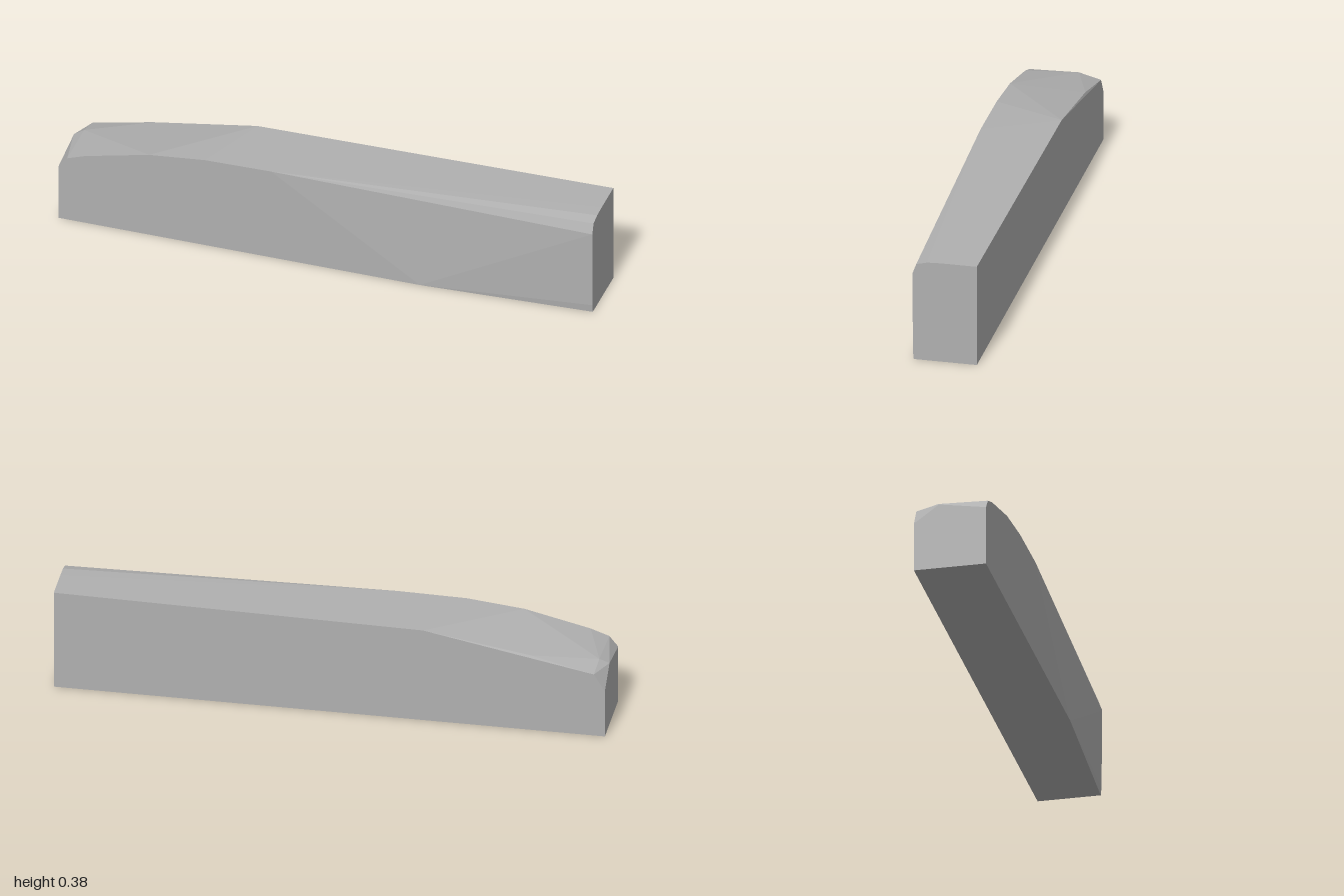
import * as THREE from 'three';
import { ConvexGeometry } from 'three/addons/geometries/ConvexGeometry.js';

const BACK = -0.132, FRONT = 0.132;

// Convex block: one long rounded nose end, one end with a slanted front corner
export function createModel() {
  const group = new THREE.Group();
  const grey = new THREE.MeshStandardMaterial({ color: 0xb0b0b0 });
  grey.name = 'grey';

  const points = [];
  const add = (x, y, z) => points.push(new THREE.Vector3(x, y, z));

  // Footprint
  [[-1, BACK], [1, BACK], [1, 0.099], [0.36, FRONT], [-1, FRONT]].forEach(([x, z]) => add(x, 0, z));
  // Top edge along the front face
  [[-1, 0.222], [-0.968, 0.262], [-0.9, 0.286], [-0.66, 0.342], [-0.45, 0.364], [-0.2, 0.368]]
    .forEach(([x, y]) => add(x, y, FRONT));
  // Top edge along the back face
  [[-1, 0.184], [-0.96, 0.25], [-0.34, 0.367], [1, 0.385]].forEach(([x, y]) => add(x, y, BACK));
  // Rounded front corner of the tall end
  [[0.0, 0.385], [0.05, 0.383], [0.09, 0.373], [0.104, 0.335], [0.102, 0.03]]
    .forEach(([z, y]) => add(1, y, z));
  // Crown of the low nose
  add(-1, 0.25, -0.04);
  add(-0.965, 0.269, -0.05);
  add(-0.73, 0.303, -0.128);

  const body = new THREE.Mesh(new ConvexGeometry(points), grey);
  body.name = 'body';
  group.add(body);
  return group;
}
